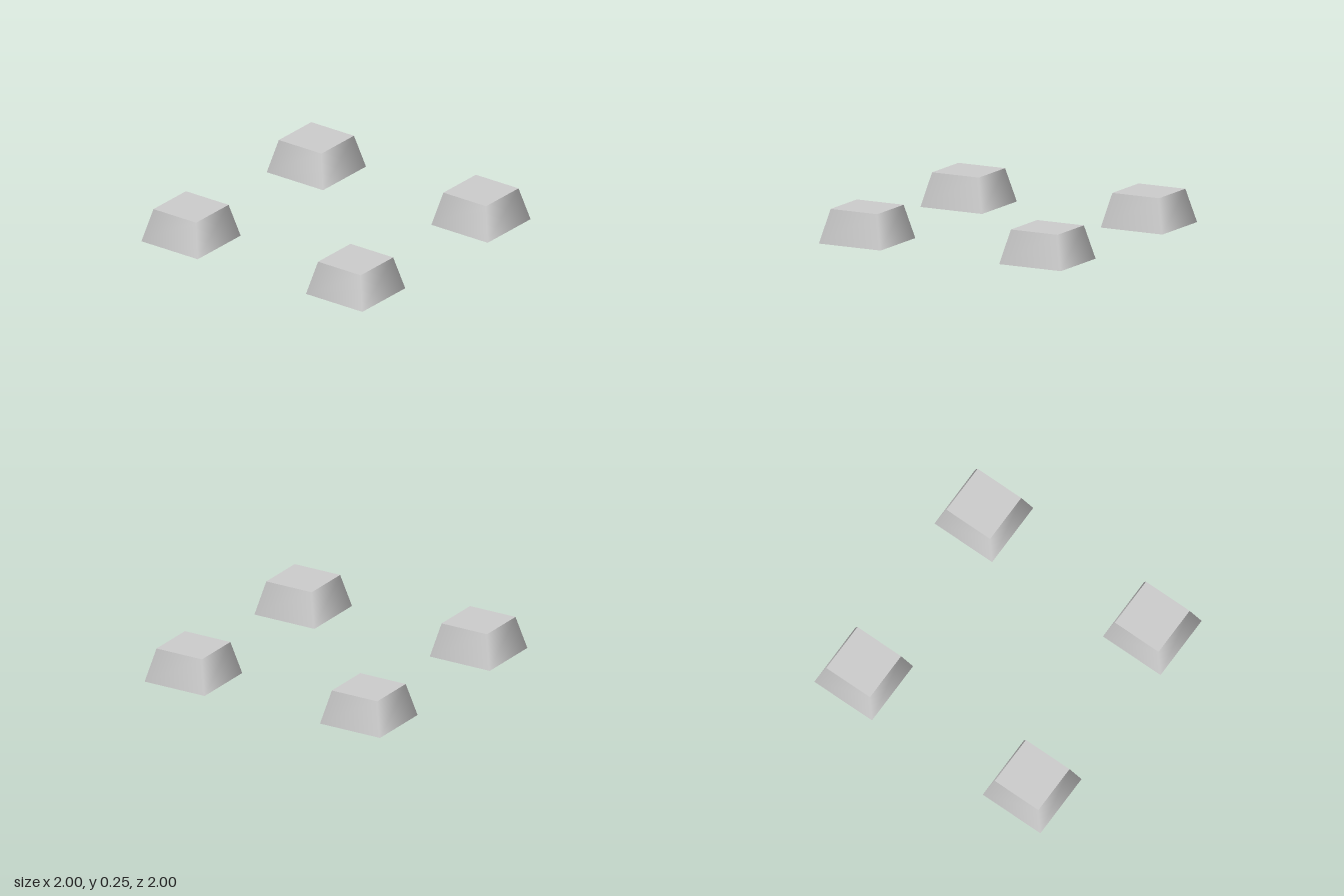
import * as THREE from 'three';

const HEIGHT = 0.25;
const BOTTOM = 0.255; // half width at the base
const TOP = 0.193;    // half width at the top
const OFFSET = 0.745; // distance of each foot from the centre lines

export function createModel() {
  const model = new THREE.Group();
  model.name = 'feet';
  const grey = new THREE.MeshStandardMaterial({ color: 0xcccccc, side: THREE.DoubleSide });
  grey.name = 'light grey';

  // Four-sided tapered wall with smooth normals, hollow and open underneath
  const wall = new THREE.CylinderGeometry(
    TOP * Math.SQRT2, BOTTOM * Math.SQRT2, HEIGHT, 4, 1, true, Math.PI / 4);
  wall.translate(0, HEIGHT / 2, 0);

  // Flat square lid
  const lid = new THREE.PlaneGeometry(TOP * 2, TOP * 2);
  lid.rotateX(-Math.PI / 2).translate(0, HEIGHT, 0);

  // One foot at each corner
  for (const [sx, side] of [[-1, 'Right'], [1, 'Left']]) {
    for (const [sz, end] of [[-1, 'back'], [1, 'front']]) {
      const foot = new THREE.Group();
      foot.name = `${end}${side}Foot`;
      for (const [name, geometry] of [['taperedWall', wall], ['lid', lid]]) {
        const mesh = new THREE.Mesh(geometry, grey);
        mesh.name = name;
        foot.add(mesh);
      }
      foot.position.set(sx * OFFSET, 0, sz * OFFSET);
      model.add(foot);
    }
  }
  return model;
}
